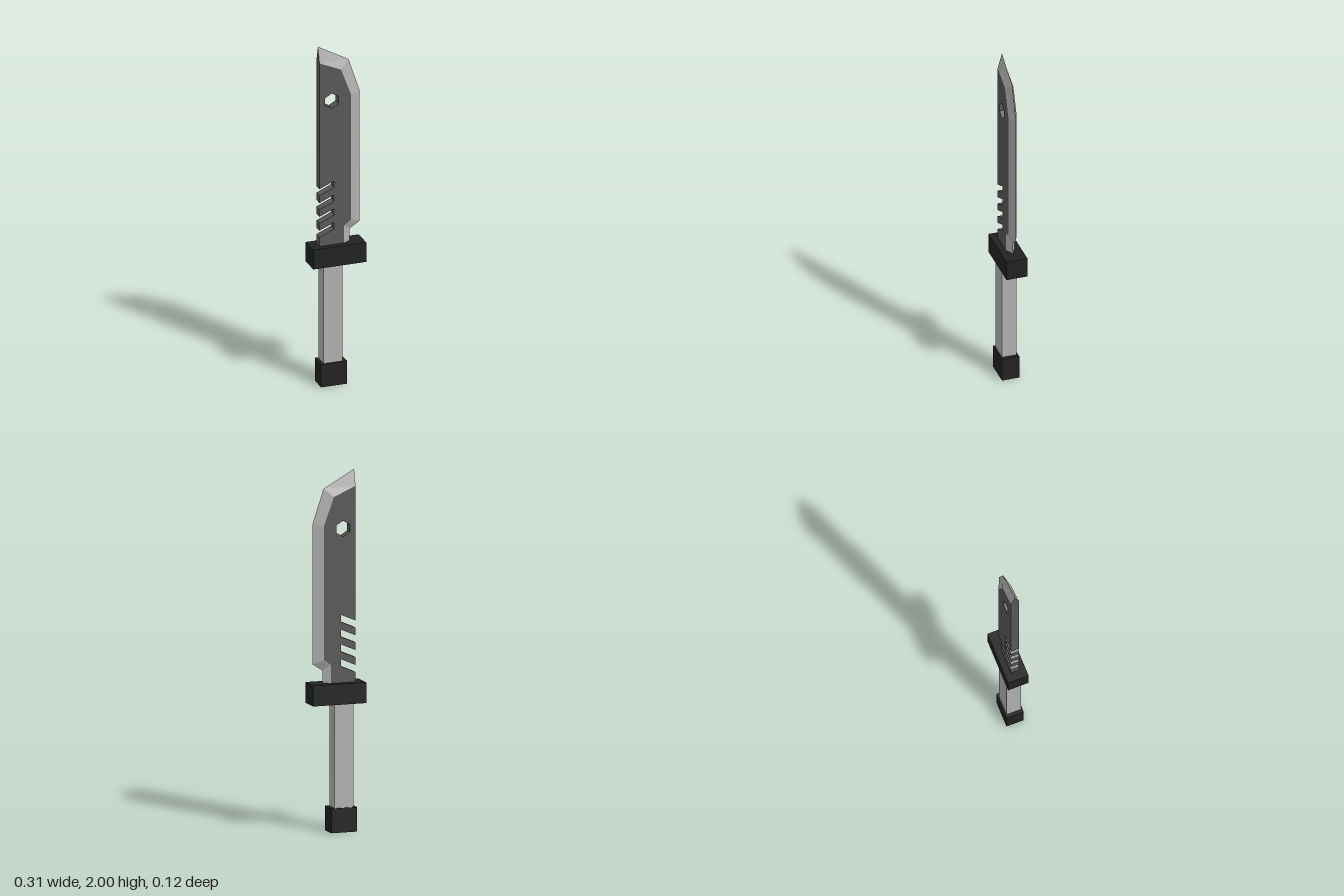
import * as THREE from 'three';

const HALF = 0.024; // half the blade thickness
const SPINE = -0.105;

function facets(triangles) {
  const geometry = new THREE.BufferGeometry();
  geometry.setAttribute('position', new THREE.Float32BufferAttribute(triangles.flat(2), 3));
  geometry.computeVertexNormals();
  return geometry;
}

export function createModel() {
  const group = new THREE.Group();
  const material = (name, color) => {
    const m = new THREE.MeshStandardMaterial({ color });
    m.name = name;
    return m;
  };
  const black = material('black', 0x222222);
  const darkSteel = material('dark steel', 0x585858);
  const brightSteel = material('bright steel', 0xb0b0b0);

  const add = (name, geometry, mat) => {
    const mesh = new THREE.Mesh(geometry, mat);
    mesh.name = name;
    group.add(mesh);
    return mesh;
  };
  const block = (name, mat, x0, x1, y0, y1, halfZ) => {
    add(name, new THREE.BoxGeometry(x1 - x0, y1 - y0, halfZ * 2), mat)
      .position.set((x0 + x1) / 2, (y0 + y1) / 2, 0);
  };

  // Pommel, grip and guard
  block('pommel', black, -0.105, 0.045, 0, 0.135, 0.05);
  block('grip', brightSteel, -0.087, 0.023, 0.13, 0.715, 0.042);
  block('guard', black, -0.154, 0.153, 0.71, 0.825, 0.06);

  // Edge of the flat and cutting edge, from the tip down to the guard
  const inner = [[SPINE, 1.91], [0.02, 1.855], [0.077, 1.7], [0.077, 0.957], [0.037, 0.927], [0.037, 0.815]];
  const outer = [[SPINE, 2], [0.072, 1.9], [0.135, 1.71], [0.135, 0.932], [0.079, 0.895], [0.079, 0.815]];

  // Blade body with slanted slots in the spine and a hexagonal hole
  const outline = inner.map(([x, y]) => new THREE.Vector2(x, y));
  outline.push(new THREE.Vector2(SPINE, 0.815));
  for (let i = 0; i < 4; i++) {
    const y = 0.916 + i * 0.082;
    [[SPINE, y - 0.037], [-0.02, y], [-0.02, y + 0.039], [SPINE, y + 0.002]]
      .forEach(([px, py]) => outline.push(new THREE.Vector2(px, py)));
  }
  const shape = new THREE.Shape(outline);
  const hole = [];
  for (let i = 0; i < 6; i++) {
    const a = Math.PI / 6 + i * Math.PI / 3;
    hole.push(new THREE.Vector2(-0.034 + 0.044 * Math.cos(a), 1.677 + 0.044 * Math.sin(a)));
  }
  shape.holes.push(new THREE.Path(hole));
  const body = new THREE.ExtrudeGeometry(shape, { depth: HALF * 2, bevelEnabled: false });
  body.translate(0, 0, -HALF);
  add('bladeBody', body, darkSteel);

  // Sharpened bevels on both sides, meeting at the cutting edge
  const bevel = [];
  for (const side of [1, -1]) {
    for (let i = 0; i < inner.length - 1; i++) {
      const a = [...inner[i], side * HALF], b = [...inner[i + 1], side * HALF];
      const A = [...outer[i], 0], B = [...outer[i + 1], 0];
      if (side > 0) bevel.push([a, b, B], [a, B, A]);
      else bevel.push([a, B, b], [a, A, B]);
    }
  }
  add('bladeBevel', facets(bevel), brightSteel);

  // Spine end under the tip
  add('spineTip', facets([[[SPINE, 1.91, -HALF], [SPINE, 1.91, HALF], [SPINE, 2, 0]]]), darkSteel);

  return group;
}
